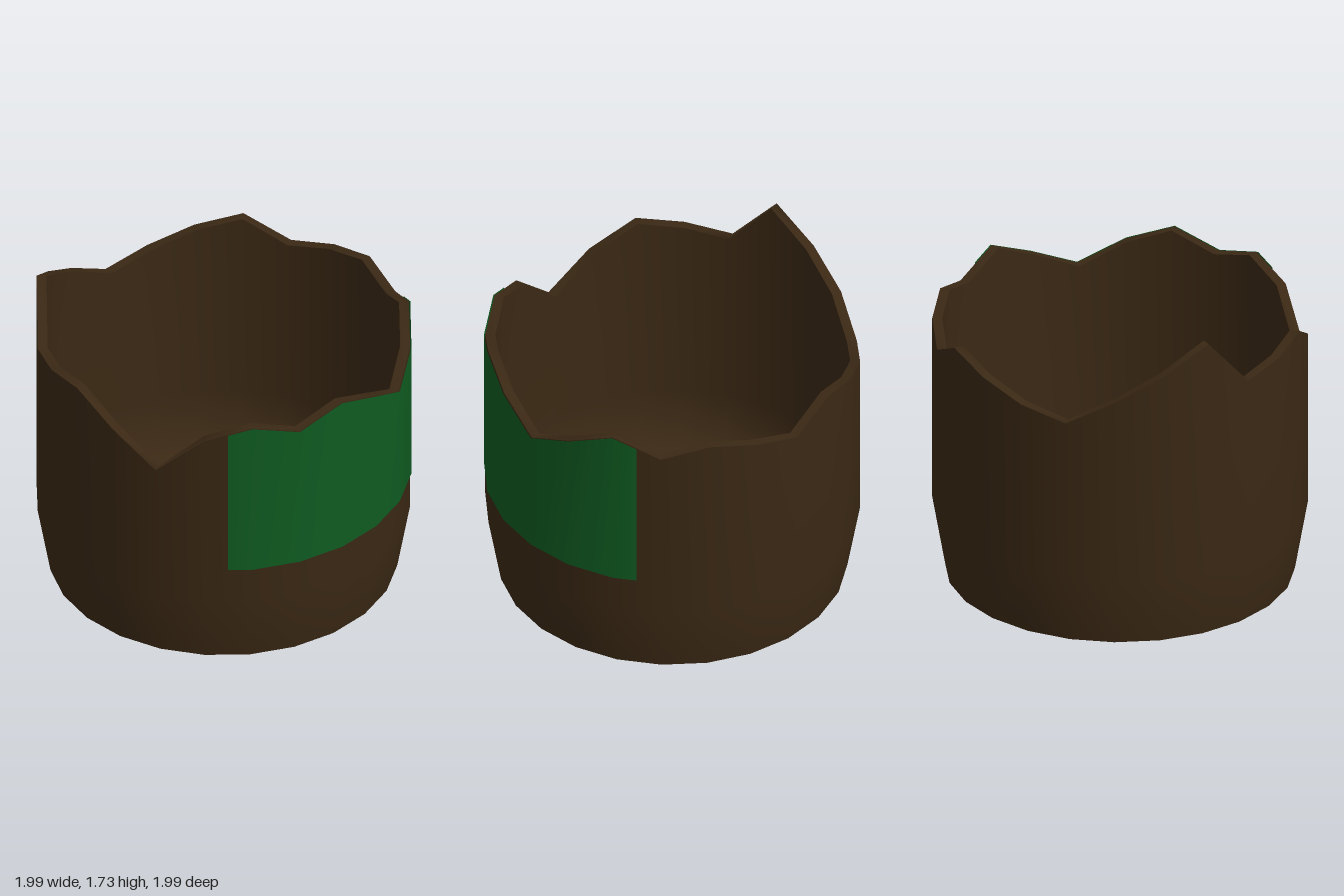
import * as THREE from 'three';

const SIDES = 24;
const STEP = (Math.PI * 2) / SIDES;
const R_OUT = 0.993, R_IN = 0.94, R_LABEL = 1.0;

// Height of the broken edge every 15 degrees, from the front round through +x
const RIM = [
  1.44, 1.31, 1.42, 1.53, 1.42, 1.49, 1.44, 1.38, 1.51, 1.44, 1.36, 1.30,
  1.44, 1.58, 1.73, 1.44, 1.48, 1.52, 1.38, 1.20, 1.43, 1.51, 1.44, 1.53,
];

// Broken-edge height at any column, whole or fractional
function rimHeight(col) {
  const lo = Math.floor(col), t = col - lo;
  const at = (i) => RIM[((i % SIDES) + SIDES) % SIDES];
  return at(lo) * (1 - t) + at(lo + 1) * t;
}

// Skins rings of [radius, height]; a height of 'rim' follows the broken edge.
// Columns are in 15 degree steps; a closed skin joins last to first.
function skin(rings, columns, closed) {
  const pos = [], index = [], n = columns.length;
  for (const [r, h] of rings) {
    for (const c of columns) {
      // points between corners lie on the flat side
      const t = c - Math.floor(c);
      const k = t ? r * Math.cos(STEP / 2) : r;
      pos.push(k * Math.sin(c * STEP), h === 'rim' ? rimHeight(c) : h, k * Math.cos(c * STEP));
    }
  }
  for (let j = 0; j < rings.length - 1; j++) {
    for (let i = 0; i < (closed ? n : n - 1); i++) {
      const a = j * n + i, b = j * n + ((i + 1) % n);
      index.push(a, b, b + n, a, b + n, a + n);
    }
  }
  const geo = new THREE.BufferGeometry();
  geo.setAttribute('position', new THREE.Float32BufferAttribute(pos, 3));
  geo.setIndex(index);
  geo.computeVertexNormals();
  return geo;
}

export function createModel() {
  const group = new THREE.Group();
  const glass = new THREE.MeshStandardMaterial({ color: 0x3a2814, side: THREE.DoubleSide });
  const paper = new THREE.MeshStandardMaterial({ color: 0x0f5a20, side: THREE.DoubleSide });
  const around = Array.from({ length: SIDES }, (_, i) => i);

  const add = (name, geo, mat) => {
    const mesh = new THREE.Mesh(geo, mat);
    mesh.name = name;
    group.add(mesh);
  };

  // Glass shell, each skin separate so its borders stay sharp
  add('base', skin([[0, 0], [0.925, 0]], around, true), glass);
  add('outerWall', skin([[0.925, 0], [R_OUT, 0.39], [R_OUT, 'rim']], around, true), glass);
  add('brokenEdge', skin([[R_OUT, 'rim'], [R_IN, 'rim']], around, true), glass);
  add('innerWall', skin([[R_IN, 'rim'], [R_IN, 0.4], [0.87, 0.06], [0, 0.06]], around, true), glass);

  // Torn label wrapped round the front
  const front = [-3.5, -3, -2, -1, 0, 1, 2, 3, 3.5];
  add('label', skin([[R_LABEL, 0.6], [R_LABEL, 'rim']], front, false), paper);

  return group;
}
